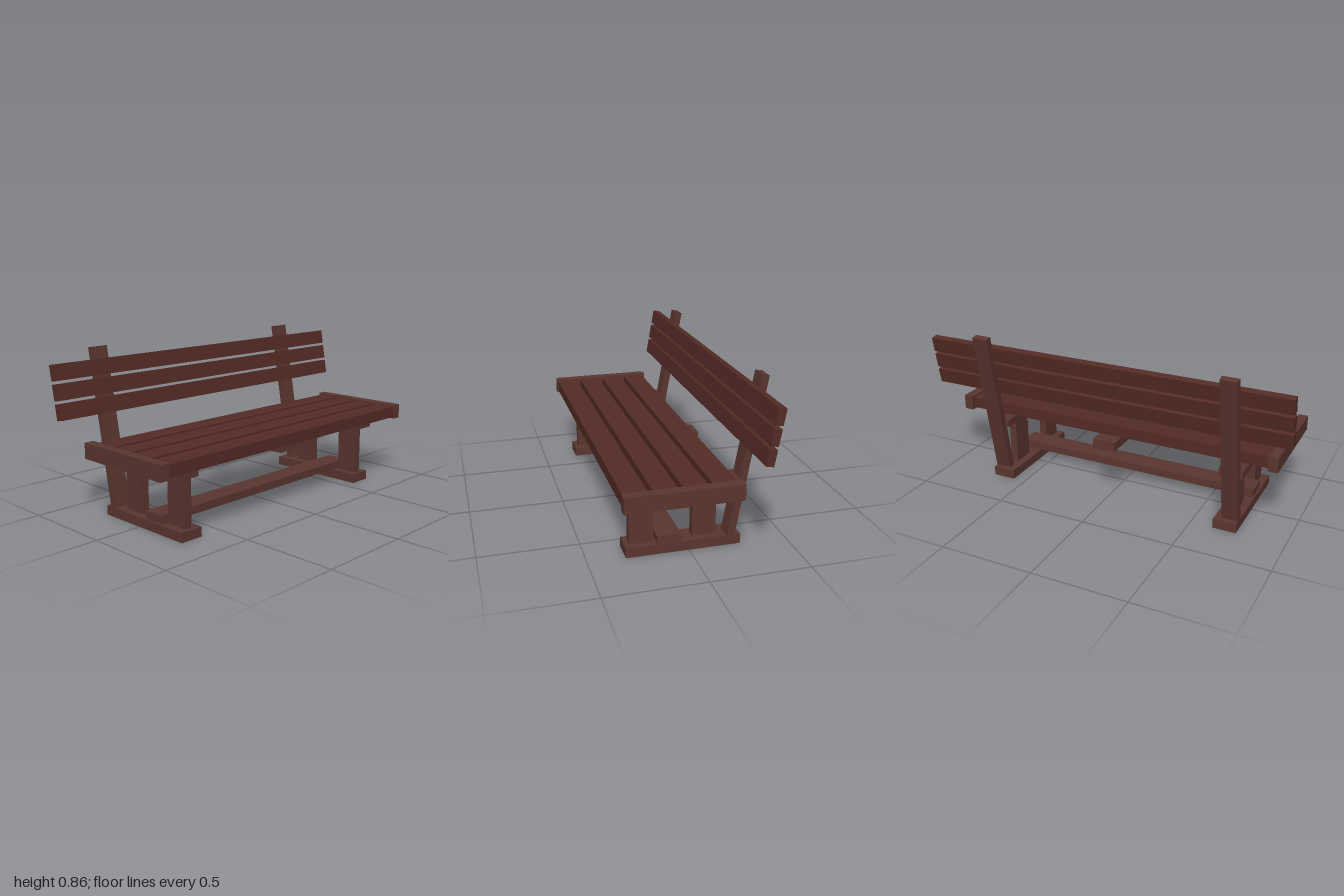
import * as THREE from 'three';

const frameMat = new THREE.MeshStandardMaterial({ color: 0x5a352f });
const plankMat = new THREE.MeshStandardMaterial({ color: 0x542b25 });
const LEAN = THREE.MathUtils.degToRad(10.2);

export function createModel() {
  const bench = new THREE.Group();
  bench.name = 'bench';

  // Straight board given by its limits along each axis
  function board(name, [x0, x1], [y0, y1], [z0, z1], mat = frameMat) {
    const mesh = new THREE.Mesh(new THREE.BoxGeometry(x1 - x0, y1 - y0, z1 - z0), mat);
    mesh.position.set((x0 + x1) / 2, (y0 + y1) / 2, (z0 + z1) / 2);
    mesh.name = name;
    bench.add(mesh);
    return mesh;
  }

  // Board tilted backwards, given by its centre and size
  function leaningBoard(name, x, y, z, w, h, d, mat) {
    const mesh = board(name, [x - w / 2, x + w / 2], [y - h / 2, y + h / 2], [z - d / 2, z + d / 2], mat);
    mesh.rotation.z = LEAN;
  }

  // Two trestles: foot, pair of legs, seat rail and leaning back post
  const trestles = [
    { z: 0.6825, railY: [0.302, 0.342], railZ: 0.6975, postZ: 0.7 },
    { z: -0.6325, railY: [0.312, 0.352], railZ: -0.6525, postZ: -0.656 },
  ];
  for (const { z, railY, railZ, postZ } of trestles) {
    board('foot', [-0.261, 0.314], [0, 0.05], [z - 0.0625, z + 0.0625]);
    for (const x of [-0.147, 0.169]) {
      board('leg', [x, x + 0.121], [0.05, railY[0]], [z - 0.021, z + 0.021]);
    }
    board('seatRail', [-0.25, 0.314], railY, [railZ - 0.0625, railZ + 0.0625]);
    leaningBoard('backPost', -0.278, 0.429, postZ, 0.037, 0.864, 0.088, frameMat);
  }
  board('middleRail', [-0.25, 0.314], [0.302, 0.352], [-0.063, 0.063]);

  // Stretcher lying on the feet
  board('stretcher', [0.039, 0.158], [0.05, 0.092], [-0.69, 0.735]);

  // Seat planks and the boards that close their ends
  for (let i = 0; i < 4; i++) {
    const x = -0.172 + i * 0.141;
    board('seatPlank', [x, x + 0.117], [0.352, 0.414], [-0.868, 0.865], plankMat);
  }
  board('seatEndBoard', [-0.19, 0.374], [0.343, 0.423], [0.863, 0.914]);
  board('seatEndBoard', [-0.19, 0.374], [0.343, 0.423], [-0.92, -0.868]);

  // Backrest planks
  for (let i = 0; i < 3; i++) {
    leaningBoard('backPlank', -0.27 - i * 0.0165, 0.571 + i * 0.094, 0, 0.039, 0.08, 2, plankMat);
  }
  return bench;
}
